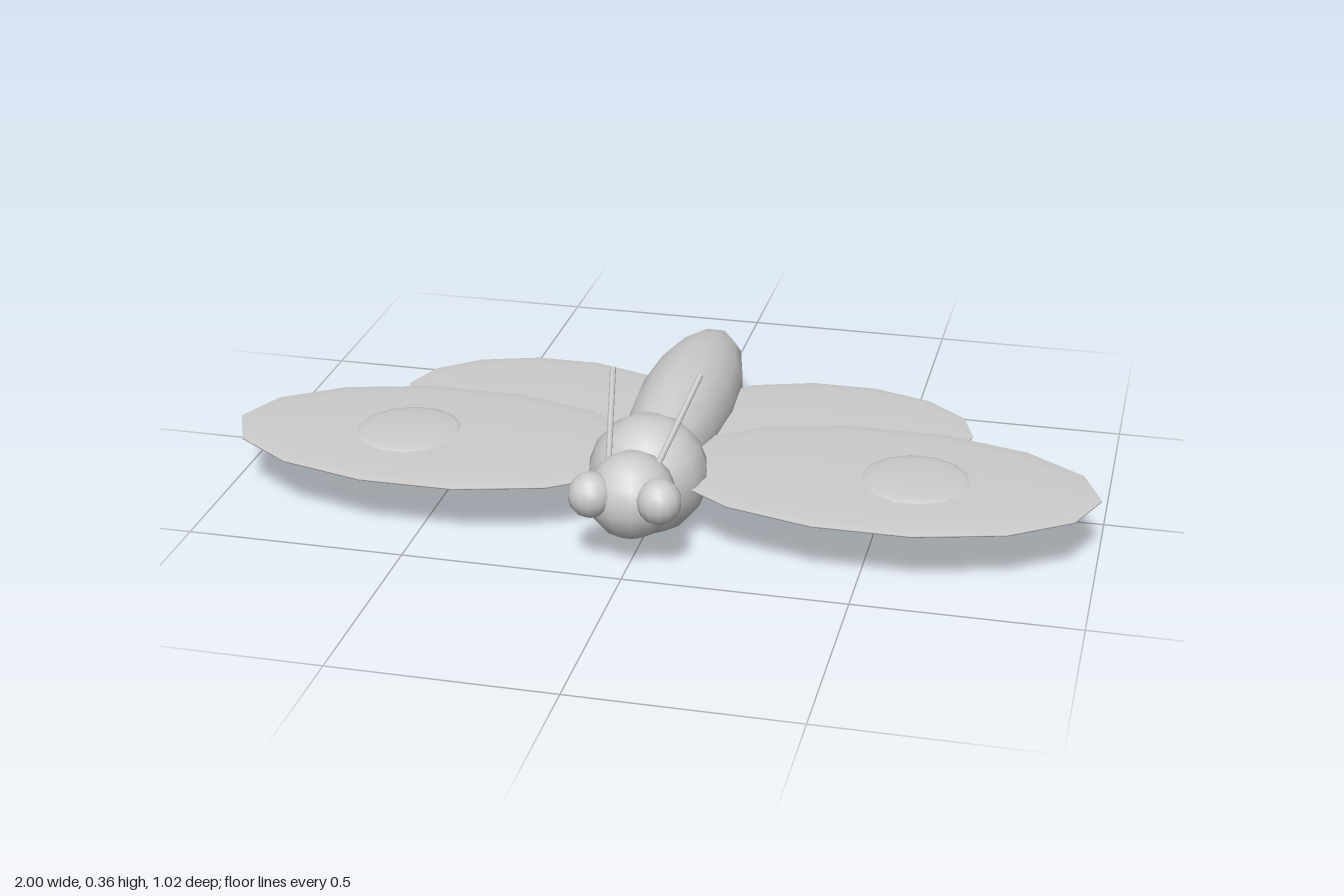
import * as THREE from 'three';

export function createModel() {
  const model = new THREE.Group();
  const grey = new THREE.MeshStandardMaterial({ color: 0xcccccc });
  grey.name = 'plain grey';

  // Every rounded part is a stretched low-segment ball
  const ball = new THREE.SphereGeometry(1, 14, 9);
  function addBall(name, x, y, z, rx, ry, rz) {
    const mesh = new THREE.Mesh(ball, grey);
    mesh.name = name;
    mesh.position.set(x, y, z);
    mesh.scale.set(rx, ry, rz);
    model.add(mesh);
  }

  // Thin rod between two points
  function addRod(name, from, to, radius) {
    const dir = to.clone().sub(from);
    const mesh = new THREE.Mesh(new THREE.CylinderGeometry(radius, radius, dir.length(), 6), grey);
    mesh.name = name;
    mesh.position.copy(from).add(to).multiplyScalar(0.5);
    mesh.quaternion.setFromUnitVectors(new THREE.Vector3(0, 1, 0), dir.normalize());
    model.add(mesh);
  }

  // Body
  addBall('abdomen', 0, 0.138, -0.13, 0.115, 0.117, 0.397);
  addBall('thorax', 0, 0.138, 0.247, 0.136, 0.137, 0.136);
  addBall('head', 0, 0.159, 0.402, 0.098, 0.098, 0.098);

  // Paired parts
  for (const [side, s] of [['left', 1], ['right', -1]]) {
    addBall(side + 'Eye', s * 0.076, 0.18, 0.464, 0.05, 0.051, 0.05);
    addBall(side + 'Forewing', s * 0.51, 0.139, 0.165, 0.497, 0.009, 0.274);
    addBall(side + 'Hindwing', s * 0.345, 0.129, -0.125, 0.343, 0.007, 0.231);
    addBall(side + 'WingSpot', s * 0.588, 0.145, 0.163, 0.124, 0.012, 0.127);
    addRod(side + 'Antenna',
      new THREE.Vector3(s * 0.055, 0.228, 0.385),
      new THREE.Vector3(s * 0.1, 0.35, 0.165), 0.007);
  }
  return model;
}
